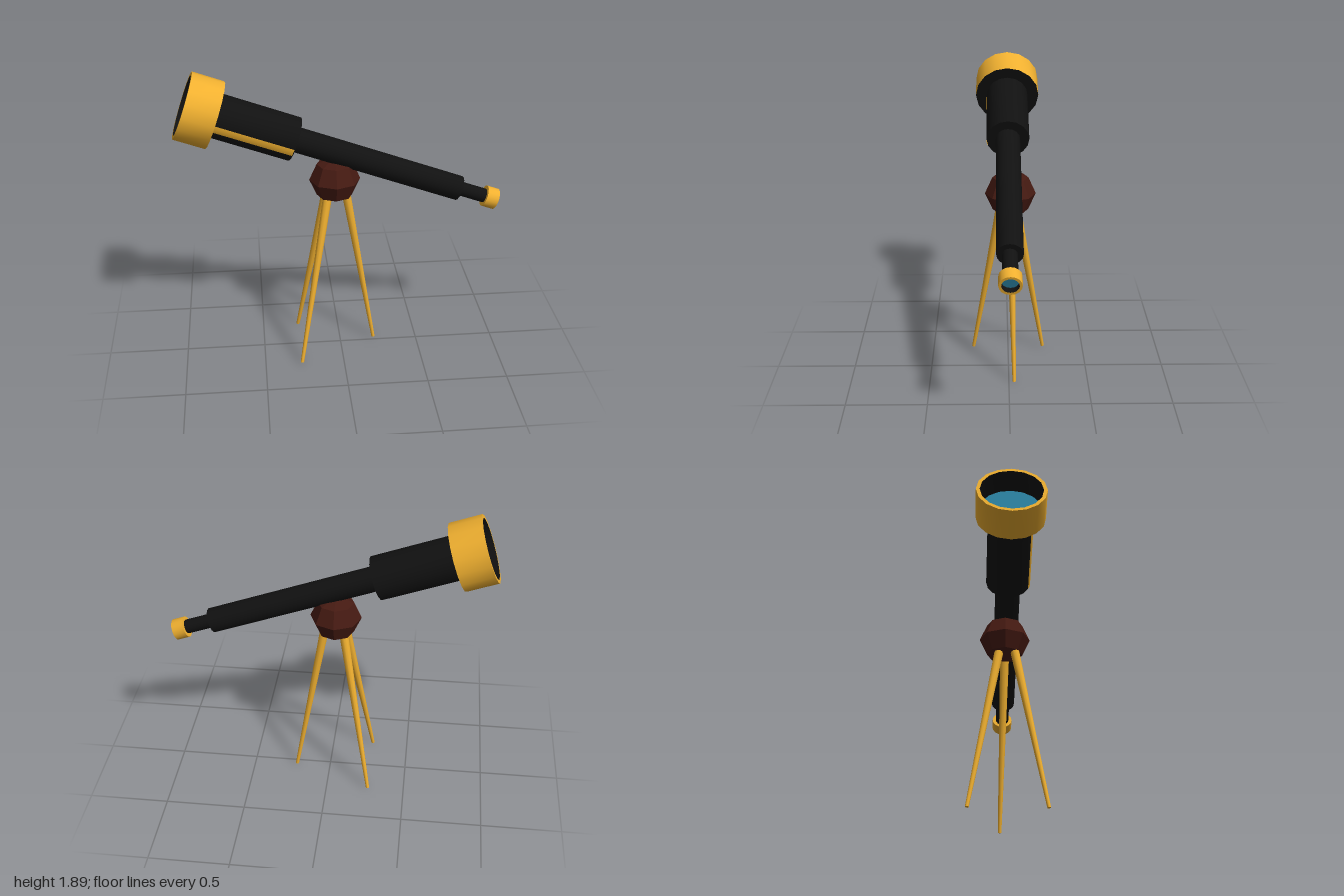
import * as THREE from 'three';
import { toCreasedNormals } from 'three/addons/utils/BufferGeometryUtils.js';

const SIDES = 16;
const mat = (color, extra = {}) => new THREE.MeshStandardMaterial({ color, ...extra });
const gold = mat(0xf0b030);
const black = mat(0x111111);
const wood = mat(0x451a12, { flatShading: true });
const glass = mat(0x2a7f9e);

function add(parent, name, geometry, material) {
  const mesh = new THREE.Mesh(geometry, material);
  mesh.name = name;
  parent.add(mesh);
  return mesh;
}

// Turned part: [radius, distance along the axis] pairs, outside faces first to last
function turned(points) {
  const lathe = new THREE.LatheGeometry(points.map(([r, y]) => new THREE.Vector2(r, y)), SIDES);
  return toCreasedNormals(lathe, 0.6);
}

// Tapered round rod between two points
function rod(parent, name, bottom, top, rBottom, rTop) {
  const dir = top.clone().sub(bottom);
  const leg = add(parent, name, new THREE.CylinderGeometry(rTop, rBottom, dir.length(), 10), gold);
  leg.position.copy(bottom).addScaledVector(dir, 0.5);
  leg.quaternion.setFromUnitVectors(new THREE.Vector3(0, 1, 0), dir.normalize());
}

export function createModel() {
  const model = new THREE.Group();
  model.name = 'telescope';

  // Optical tube: local y runs from the large end to the eyepiece
  const tube = new THREE.Group();
  tube.name = 'opticalTube';
  tube.position.set(-0.93, 1.695, 0);
  tube.rotation.z = THREE.MathUtils.degToRad(-110);
  model.add(tube);

  // Large end: gold shell, dark lining, dark rear wall and lens
  add(tube, 'hood', turned([[0.185, 0], [0.207, 0], [0.207, 0.2]]), gold);
  add(tube, 'hoodLining', turned([[0.185, 0.15], [0.185, 0]]), black);
  add(tube, 'hoodRear', turned([[0.207, 0.2], [0.12, 0.2]]), black);
  add(tube, 'frontLens', turned([[0, 0.14], [0.185, 0.14]]), glass);

  // Telescoping sections
  add(tube, 'mainBarrel', turned([[0.135, 0.18], [0.135, 0.697], [0, 0.697]]), black);
  add(tube, 'middleTube', turned([[0.077, 0.69], [0.077, 1.777], [0, 1.777]]), black);
  add(tube, 'eyepieceTube', turned([[0.044, 1.77], [0.044, 1.96]]), black);

  // Gold strip along the side of the barrel
  const strip = add(tube, 'sideStrip',
    new THREE.CylinderGeometry(0.137, 0.137, 0.492, 4, 1, true, 0.11, 0.355),
    mat(0xf0b030, { side: THREE.DoubleSide }));
  strip.position.y = 0.446;

  // Eyepiece ring with recessed lens
  add(tube, 'eyepiece', turned([[0.04, 1.95], [0.066, 1.95], [0.066, 2.028], [0.05, 2.028]]), gold);
  add(tube, 'eyepieceLining', turned([[0.05, 2.028], [0.05, 1.985]]), black);
  add(tube, 'eyepieceLens', turned([[0.05, 1.99], [0, 1.99]]), glass);

  // Faceted ball joint
  const ball = add(model, 'ballJoint', new THREE.SphereGeometry(0.157, 8, 4), wood);
  ball.scale.y = 0.92;
  ball.position.set(-0.035, 1.18, -0.012);

  // Tripod
  const v = (x, y, z) => new THREE.Vector3(x, y, z);
  for (const [name, s] of [['frontLeg', 1], ['backLeg', -1]]) {
    rod(model, name, v(-0.268, 0.01, 0.232 * s), v(-0.076, 1.14, 0.038 * s), 0.011, 0.029);
  }
  rod(model, 'sideLeg', v(0.22, 0.005, -0.034), v(0.025, 1.14, -0.01), 0.011, 0.029);

  return model;
}
